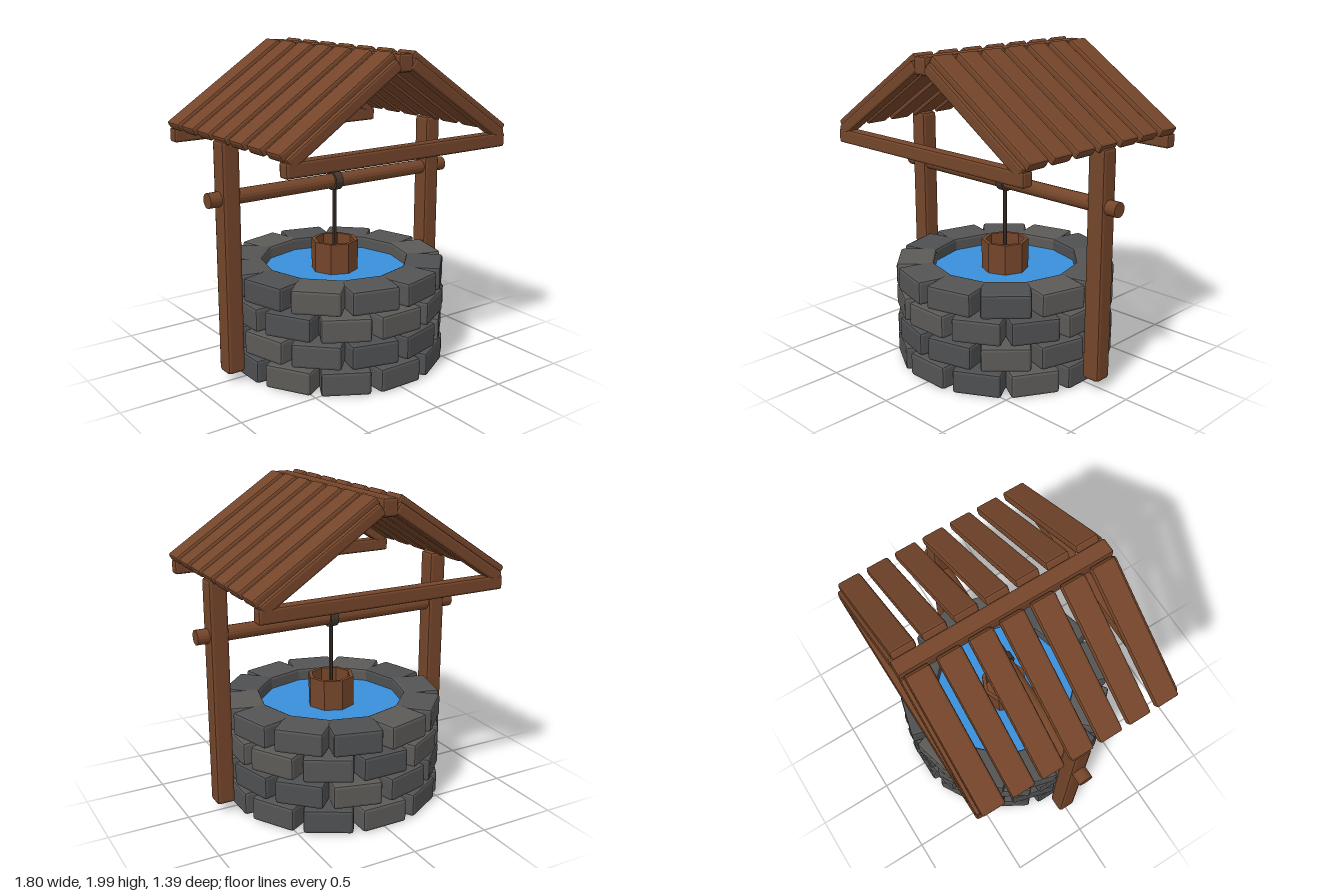
import * as THREE from 'three';
import { RoundedBoxGeometry } from 'three/addons/geometries/RoundedBoxGeometry.js';

const mat = (color, side = THREE.FrontSide) =>
  new THREE.MeshStandardMaterial({ color, flatShading: true, side });

export function createModel() {
  const model = new THREE.Group();
  model.name = 'well';
  const wood = mat(0x74452a);
  const dark = mat(0x43362e);
  const stones = [mat(0x545454), mat(0x5c5a57), mat(0x4e4f51)];

  const add = (parent, name, geometry, material, x = 0, y = 0, z = 0) => {
    const mesh = new THREE.Mesh(geometry, material);
    mesh.name = name;
    mesh.position.set(x, y, z);
    parent.add(mesh);
    return mesh;
  };
  const block = (w, h, d, bevel = 0.015) => new RoundedBoxGeometry(w, h, d, 1, bevel);

  // Stone wall: four staggered rings of twelve blocks
  const wall = new THREE.Group();
  wall.name = 'stoneWall';
  model.add(wall);
  const stoneShape = block(0.3, 0.15, 0.235, 0.018);
  for (let row = 0; row < 4; row++) {
    for (let i = 0; i < 12; i++) {
      const a = (i + (row % 2) / 2) * Math.PI / 6;
      const shade = stones[(i * 5 + row * 2 + (i >> 2)) % 3];
      const stone = add(wall, 'stone', stoneShape, shade,
        0.567 * Math.sin(a), 0.075 + row * 0.1667, 0.567 * Math.cos(a));
      stone.rotation.y = a;
    }
  }

  // Water surface
  const water = add(model, 'water', new THREE.CircleGeometry(0.5, 24), mat(0x3a8fdc), 0, 0.57, 0);
  water.rotation.x = -Math.PI / 2;

  // Open bucket with a thick wall and a floor
  const bucketProfile = [[0, 0.5], [0.15, 0.5], [0.15, 0.765], [0.125, 0.765], [0.125, 0.6], [0, 0.6]]
    .map(([r, y]) => new THREE.Vector2(r, y));
  add(model, 'bucket', new THREE.LatheGeometry(bucketProfile, 8), wood);

  // Rope, its winding and the crossbar
  add(model, 'rope', new THREE.CylinderGeometry(0.013, 0.013, 0.55, 8), dark, 0, 0.875, 0);
  const winding = add(model, 'ropeWinding', new THREE.CylinderGeometry(0.06, 0.06, 0.054, 16), dark, 0, 1.147, 0);
  winding.rotation.z = Math.PI / 2;
  const bar = add(model, 'crossbar', new THREE.CylinderGeometry(0.046, 0.046, 1.8, 16), wood, 0, 1.147, 0);
  bar.rotation.z = Math.PI / 2;

  // Ridge beam and tie beams
  add(model, 'ridgeBeam', block(0.1, 0.105, 1.35), wood, 0, 1.932, 0);
  for (const z of [-0.64, 0.64]) add(model, 'tieBeam', block(1.59, 0.09, 0.075), wood, 0, 1.425, z);

  // Each half: post, rafters and seven roof planks
  const slope = -0.581;
  const plankShape = block(0.89, 0.06, 0.15);
  const rafterShape = block(0.87, 0.075, 0.075);
  for (const side of ['left', 'right']) {
    const half = new THREE.Group();
    half.name = side + 'Half';
    half.rotation.y = side === 'left' ? 0 : Math.PI;
    model.add(half);
    add(half, 'post', block(0.118, 1.43, 0.118, 0.02), wood, 0.768, 0.775, 0);
    for (const z of [-0.64, 0.64]) {
      add(half, 'rafter', rafterShape, wood, 0.41, 1.69, z).rotation.z = slope;
    }
    for (let i = -3; i <= 3; i++) {
      add(half, 'roofPlank', plankShape, wood, 0.436, 1.73, i * 0.193).rotation.z = slope;
    }
  }
  return model;
}
